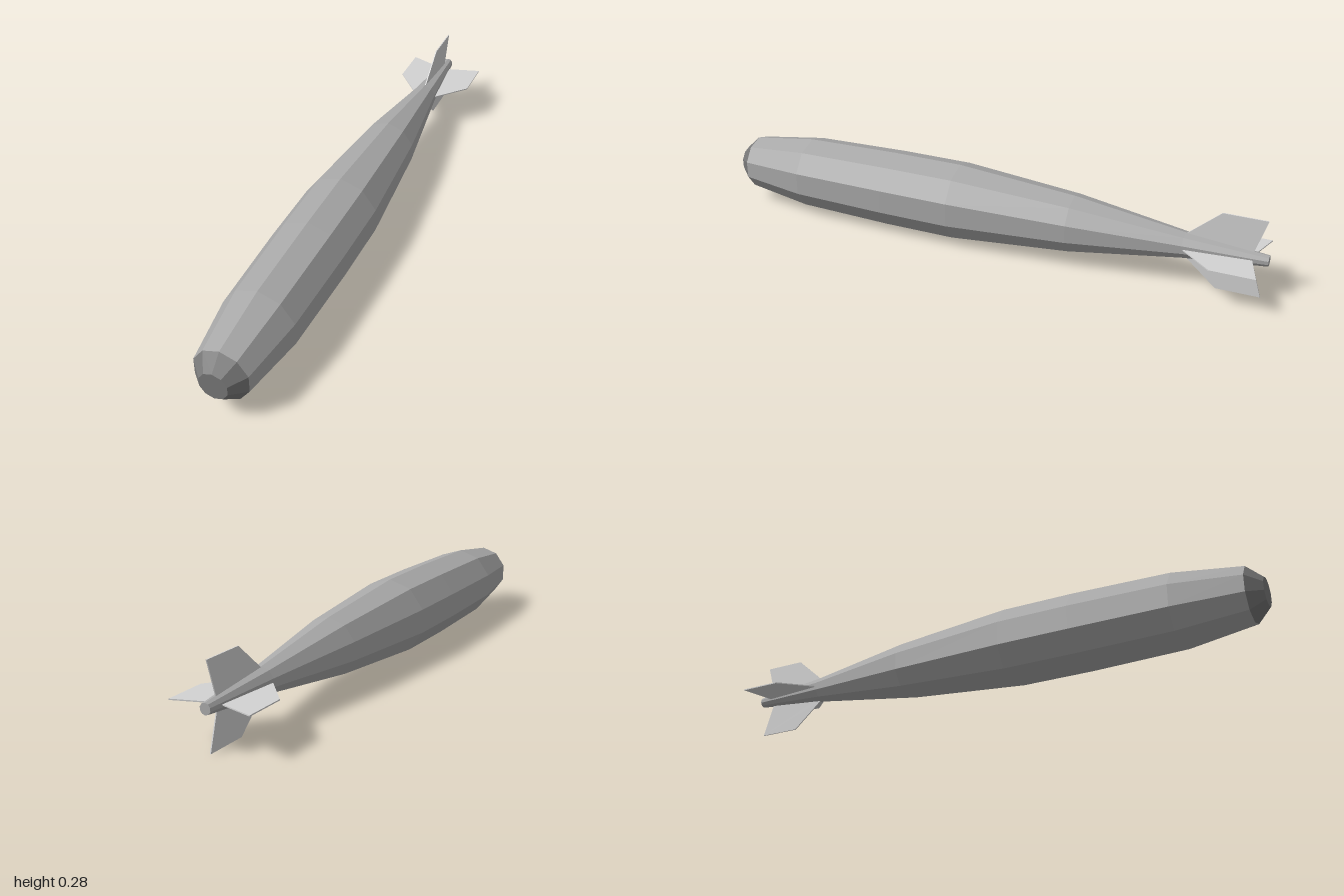
import * as THREE from 'three';

const AXIS_Y = 0.141; // height of the hull's long axis
const SIDES = 10;

function flatMaterial(name, color) {
  const material = new THREE.MeshStandardMaterial({ color, flatShading: true });
  material.name = name;
  return material;
}

// Ten-sided body of revolution along z, from [radius, z] pairs listed tail to nose
function turnedPart(name, profile, material) {
  const geometry = new THREE.LatheGeometry(profile.map(([r, z]) => new THREE.Vector2(r, z)), SIDES);
  geometry.rotateX(Math.PI / 2);
  const mesh = new THREE.Mesh(geometry, material);
  mesh.name = name;
  mesh.position.y = AXIS_Y;
  return mesh;
}

export function createModel() {
  const model = new THREE.Group();
  model.name = 'finnedHull';

  const hullGrey = flatMaterial('hullGrey', 0xa9a9a9);
  const noseGrey = flatMaterial('noseGrey', 0x787878);
  const finGrey = flatMaterial('finGrey', 0xd3d3d3);

  // Long hull, thin at the tail and widest ahead of the middle
  model.add(turnedPart('hull', [
    [0, -1], [0.019, -1], [0.046, -0.72], [0.103, -0.33],
    [0.139, 0.1], [0.139, 0.36], [0.131, 0.71], [0.097, 0.95],
  ], hullGrey));

  // Darker blunt nose cap
  model.add(turnedPart('nose', [[0.097, 0.95], [0.05, 1], [0, 1]], noseGrey));

  // Swept tail fin: outline in (z, distance from axis), rooted inside the hull
  const outline = [[-0.68, 0.01], [-0.725, 0.044], [-0.835, 0.141], [-0.985, 0.141], [-0.945, 0.01]];
  const thickness = 0.004;
  const finGeometry = new THREE.ExtrudeGeometry(
    new THREE.Shape(outline.map(([z, d]) => new THREE.Vector2(z, d))),
    { depth: thickness, bevelEnabled: false },
  );
  finGeometry.translate(0, 0, -thickness / 2);
  finGeometry.rotateY(-Math.PI / 2);

  // Four fins in a cross around the tail
  ['topFin', 'rightFin', 'bottomFin', 'leftFin'].forEach((name, i) => {
    const fin = new THREE.Mesh(finGeometry, finGrey);
    fin.name = name;
    fin.position.y = AXIS_Y;
    fin.rotation.z = (i * Math.PI) / 2;
    model.add(fin);
  });

  return model;
}
